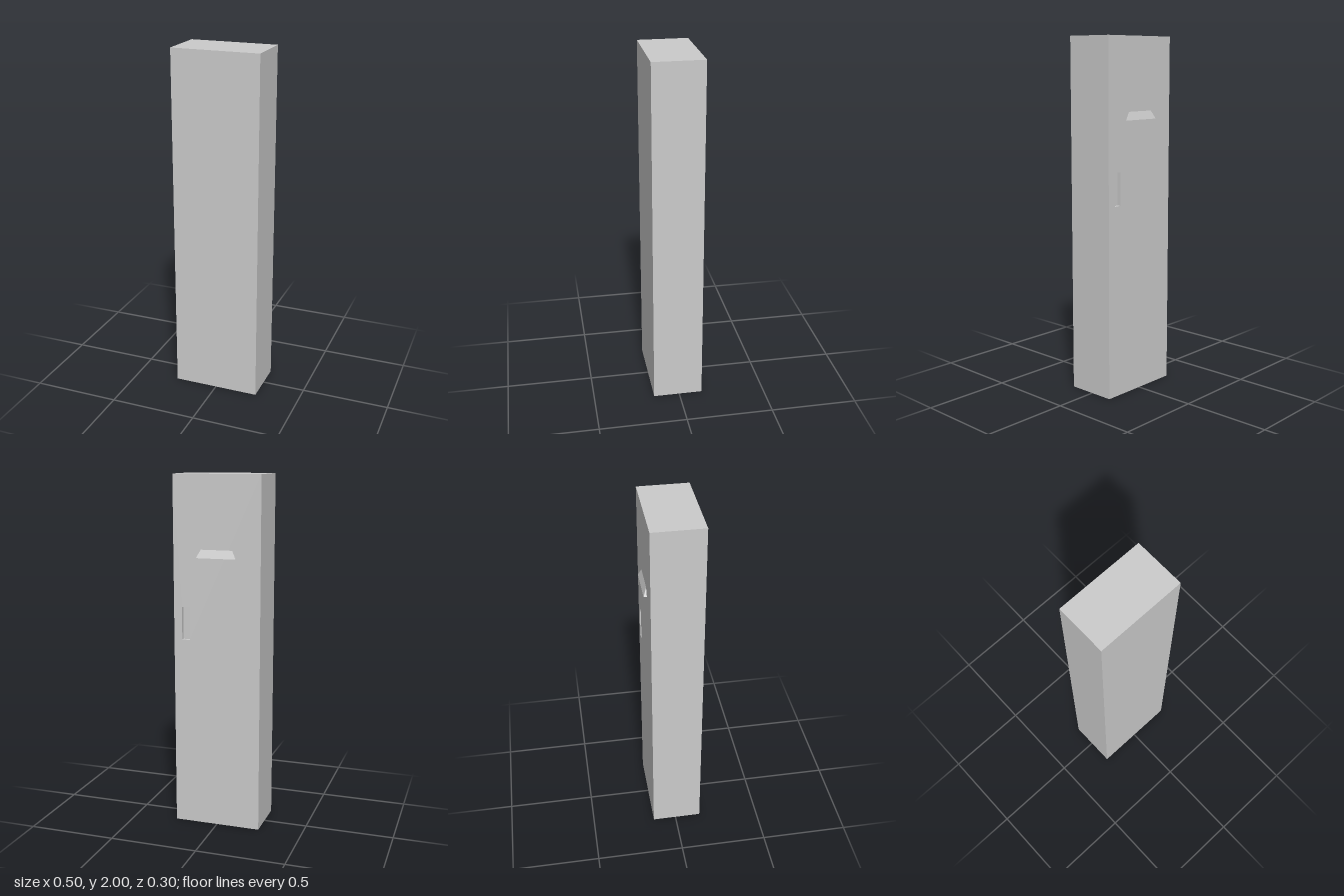
import * as THREE from 'three';
import { ConvexGeometry } from 'three/addons/geometries/ConvexGeometry.js';

const W = 0.5, H = 2, BACK = -0.135, FRONT = 0.15;
const recess = { x: 0.18, y: 1.18, w: 0.046, h: 0.185, depth: 0.022 };

// Box without its -z face (the last six indices)
function openBackBox(w, h, d) {
  const g = new THREE.BoxGeometry(w, h, d);
  g.setIndex([...g.index.array].slice(0, 30));
  g.clearGroups();
  return g;
}

export function createModel() {
  const model = new THREE.Group();
  const material = new THREE.MeshStandardMaterial({ color: 0xcccccc, flatShading: true });
  const inside = material.clone();
  inside.side = THREE.BackSide;

  const add = (name, geometry, mat = material) => {
    const mesh = new THREE.Mesh(geometry, mat);
    mesh.name = name;
    model.add(mesh);
    return mesh;
  };

  // Tall cabinet, open where the door panel sits
  const depth = FRONT - BACK;
  add('cabinetBody', openBackBox(W, H, depth)).position.set(0, H / 2, (FRONT + BACK) / 2);

  // Door panel on the back, with a hole for the handle (turned, so x is mirrored)
  const panel = new THREE.Shape([
    new THREE.Vector2(-W / 2, 0), new THREE.Vector2(W / 2, 0),
    new THREE.Vector2(W / 2, H), new THREE.Vector2(-W / 2, H),
  ]);
  const { x, y, w, h } = recess;
  panel.holes.push(new THREE.Path([
    new THREE.Vector2(-x - w / 2, y - h / 2), new THREE.Vector2(-x - w / 2, y + h / 2),
    new THREE.Vector2(-x + w / 2, y + h / 2), new THREE.Vector2(-x + w / 2, y - h / 2),
  ]));
  const door = add('doorPanel', new THREE.ShapeGeometry(panel));
  door.rotation.y = Math.PI;
  door.position.z = BACK;

  // Sunken handle pocket, seen from inside
  add('handleRecess', openBackBox(w, h, recess.depth), inside)
    .position.set(x, y, BACK + recess.depth / 2);

  // Sloping vent hood, wider at its lower edge
  const hood = [];
  for (const s of [-1, 1]) {
    hood.push(
      new THREE.Vector3(s * 0.09, 1.595, BACK),
      new THREE.Vector3(s * 0.113, 1.55, BACK),
      new THREE.Vector3(s * 0.113, 1.55, -0.152),
    );
  }
  add('ventHood', new ConvexGeometry(hood));

  return model;
}
